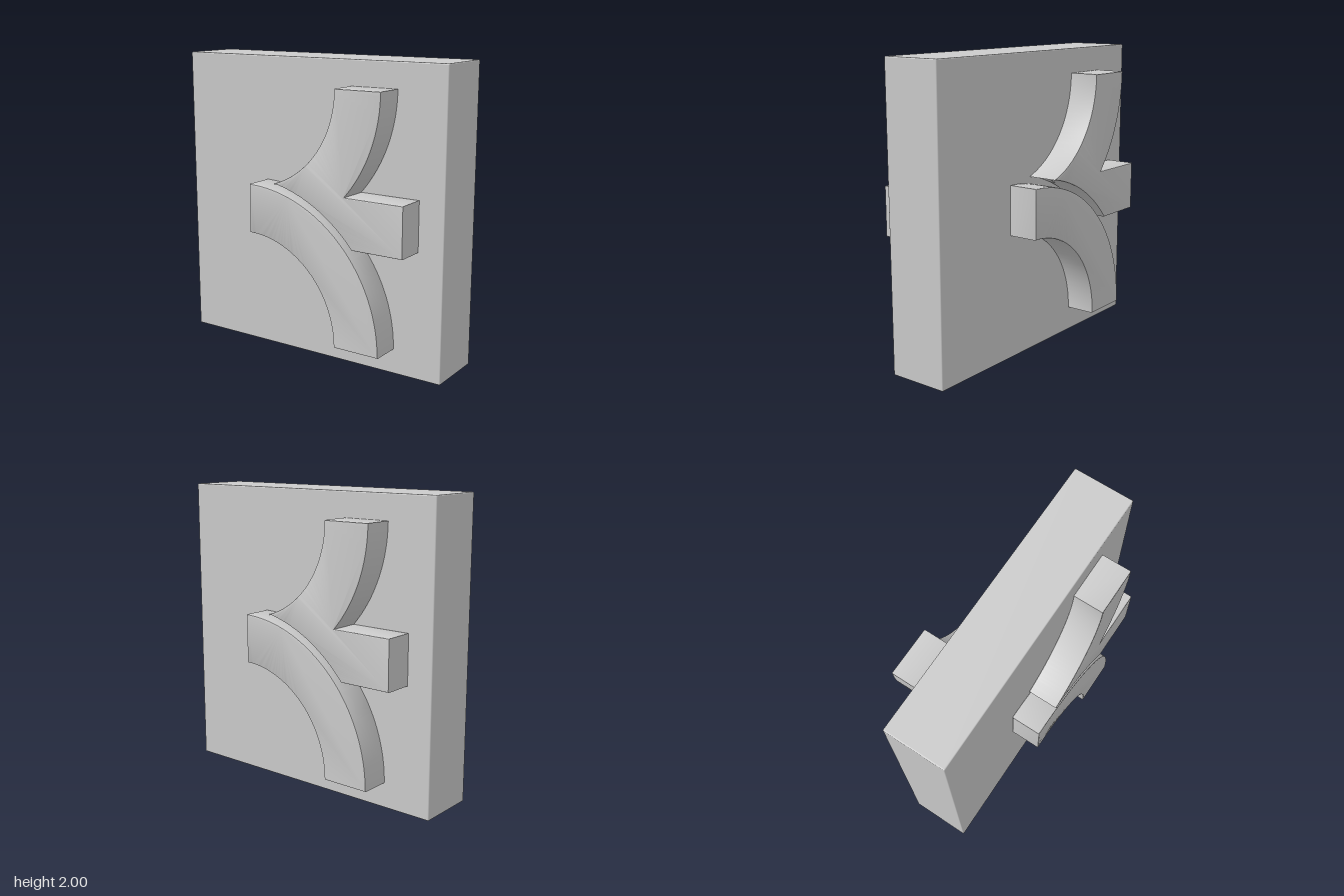
import * as THREE from 'three';
import { toCreasedNormals } from 'three/addons/utils/BufferGeometryUtils.js';
import { RoundedBoxGeometry } from 'three/addons/geometries/RoundedBoxGeometry.js';

const HALF = 0.208;   // half the slab thickness
const RAISE = 0.207;  // height of the raised bands
const EDGE = 0.008;   // small edge rounding
const CX = -0.335;    // shared x of both arc centres
const LOW = 0.17;     // y of the lower arc centre
const HIGH = 1.835;   // y of the upper arc centre
const INNER = 0.67;
const OUTER = 1.0;
const GROOVE = 1.045; // radius of the far side of the narrow gap

const material = new THREE.MeshStandardMaterial({ color: 0xcccccc });

// Quarter ring that passes over the other band
function archShape() {
  const s = new THREE.Shape();
  s.absarc(CX, LOW, OUTER, 0, Math.PI / 2, false);
  s.absarc(CX, LOW, INNER, Math.PI / 2, 0, true);
  return s;
}

// Upper curved arm joined to a straight stub, cut off along the gap
function branchShape() {
  const gap = HIGH - LOW;
  const dy = (gap * gap + GROOVE * GROOVE - INNER * INNER) / (2 * gap);
  const tipX = Math.sqrt(GROOVE * GROOVE - dy * dy);
  const tipLow = Math.atan2(dy, tipX);
  const tipHigh = Math.atan2(dy - gap, tipX);
  const s = new THREE.Shape();
  s.absarc(CX, LOW, GROOVE, tipLow, Math.asin((0.84 - LOW) / GROOVE), true);
  s.lineTo(0.828, 0.84);
  s.lineTo(0.828, 1.17);
  s.absarc(CX, HIGH, OUTER, Math.asin((1.17 - HIGH) / OUTER), 0, false);
  // stop just short of the tip, which is the starting point
  s.absarc(CX, HIGH, INNER, 0, tipHigh + 0.005, true);
  return s;
}

function raised(name, shape) {
  const geometry = new THREE.ExtrudeGeometry(shape, {
    depth: RAISE - 2 * EDGE,
    curveSegments: 40,
    bevelSize: EDGE,
    bevelThickness: EDGE,
    bevelOffset: -EDGE,
    bevelSegments: 2,
  });
  geometry.translate(0, 0, HALF + EDGE);
  const mesh = new THREE.Mesh(toCreasedNormals(geometry, 0.6), material);
  mesh.name = name;
  return mesh;
}

export function createModel() {
  const model = new THREE.Group();
  model.name = 'reliefTile';

  // Square slab
  const slab = new THREE.Mesh(new RoundedBoxGeometry(2, 2, 2 * HALF, 2, EDGE), material);
  slab.position.y = 1;
  slab.name = 'slab';
  model.add(slab);

  // The same relief on both faces, turned half round for the back
  for (const [name, turn] of [['frontRelief', 0], ['backRelief', Math.PI]]) {
    const relief = new THREE.Group();
    relief.name = name;
    relief.add(raised('archBand', archShape()), raised('branchBand', branchShape()));
    relief.rotation.y = turn;
    model.add(relief);
  }
  return model;
}
